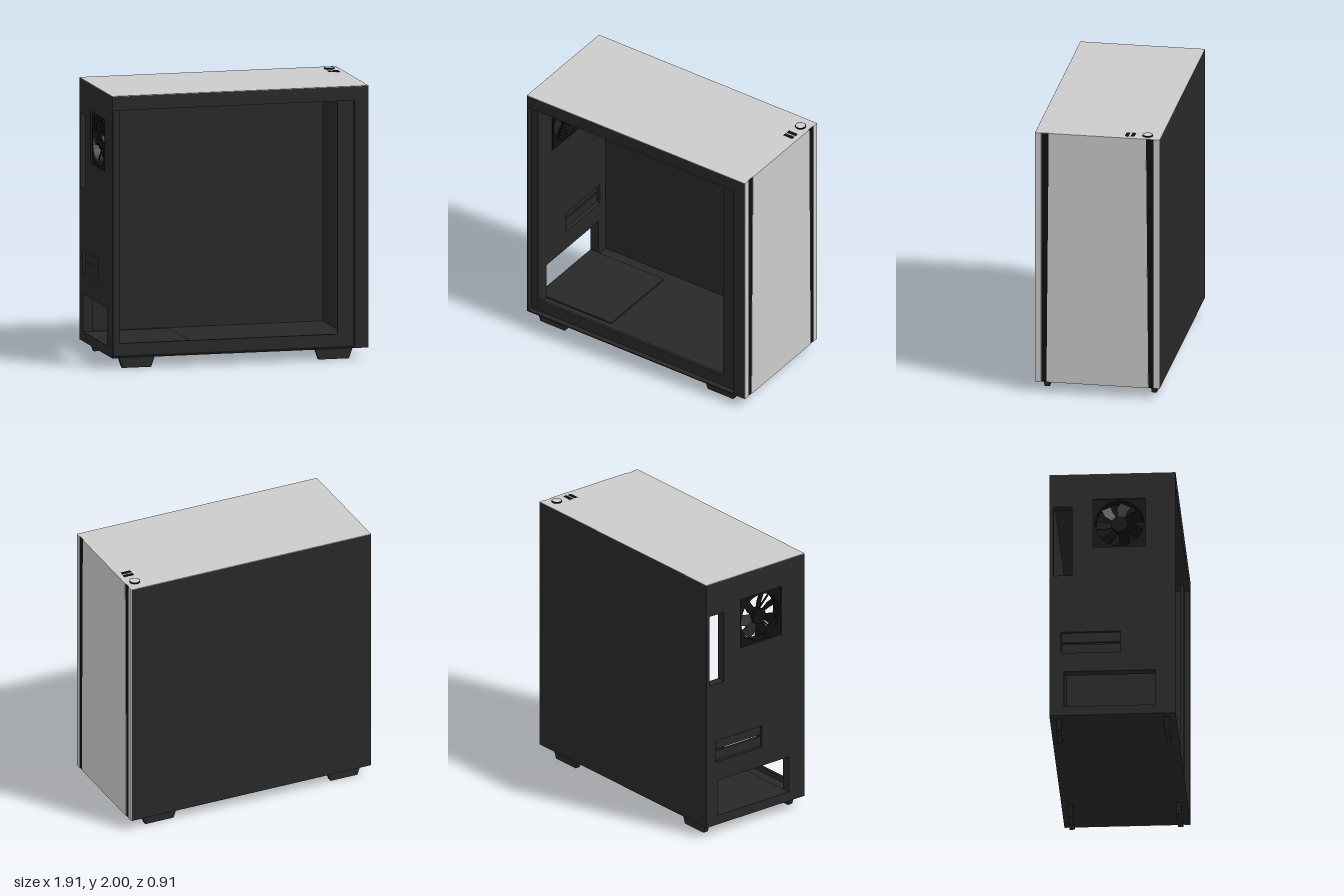
import * as THREE from 'three';

const mat = (color) => new THREE.MeshStandardMaterial({ color, flatShading: true });

export function createModel() {
  const root = new THREE.Group();
  const dark = mat(0x282828), black = mat(0x101010), grey = mat(0xcccccc);

  const add = (name, geo, material, parent = root) => {
    const m = new THREE.Mesh(geo, material);
    m.name = name;
    parent.add(m);
    return m;
  };
  // box given by its minimum and maximum on each axis
  const box = (name, [x0, x1], [y0, y1], [z0, z1], material = dark) => {
    const g = new THREE.BoxGeometry(x1 - x0, y1 - y0, z1 - z0);
    g.translate((x0 + x1) / 2, (y0 + y1) / 2, (z0 + z1) / 2);
    return add(name, g, material);
  };
  const poly = (pts) => pts.map(([a, b]) => new THREE.Vector2(a, b));
  const rect = (z0, z1, y0, y1) => poly([[-z1, y0], [-z0, y0], [-z0, y1], [-z1, y1]]);
  // extrude a (-z, y) outline along +x from x0 to x1
  const extrudeX = (pts, holes, x0, x1) => {
    const s = new THREE.Shape(pts);
    holes.forEach((h) => s.holes.push(h instanceof THREE.Path ? h : new THREE.Path(h)));
    const g = new THREE.ExtrudeGeometry(s, { depth: x1 - x0, bevelEnabled: false, curveSegments: 20 });
    return g.rotateY(Math.PI / 2).translate(x0, 0, 0);
  };

  // shell
  box('closedSidePanel', [-0.96, 0.946], [0.08, 1.986], [-0.455, -0.435]);
  box('basePlate', [-0.96, 0.946], [0.08, 0.14], [-0.435, 0.415]);
  box('roofBox', [-0.96, 0.946], [1.885, 1.986], [-0.435, 0.455]);
  box('frontBlock', [0.85, 0.946], [0.08, 1.885], [-0.435, 0.455]);

  // recessed frame around the open side, with thin outer lips
  box('frameColumn', [0.73, 0.85], [0.14, 1.885], [0.395, 0.415]);
  box('frameSill', [-0.89, 0.73], [0.14, 0.18], [0.395, 0.415]);
  box('rearLip', [-0.96, -0.95], [0.08, 1.885], [0.415, 0.455]);
  box('bottomLip', [-0.95, 0.85], [0.08, 0.088], [0.415, 0.455]);

  // rear wall with openings for port plate, fan, expansion slots and power supply
  const fanY = 1.6, fanZ = 0.05, fanHalf = 0.19;
  add('rearWall', extrudeX(rect(-0.435, 0.415, 0.14, 1.885), [
    rect(-0.425, -0.29, 1.19, 1.735),
    rect(fanZ - fanHalf, fanZ + fanHalf, fanY - fanHalf, fanY + fanHalf),
    rect(-0.37, 0.06, 0.575, 0.74),
    rect(-0.35, 0.31, 0.15, 0.427),
  ], -0.96, -0.89), dark);
  for (const y of [0.575, 0.665]) box('slotCover', [-0.94, -0.92], [y, y + 0.075], [-0.37, 0.06]);
  box('powerSupplyTray', [-0.89, -0.32], [0.14, 0.15], [-0.35, 0.31]);

  // fan
  const fan = new THREE.Group();
  fan.name = 'rearFan';
  root.add(fan);
  const ring = new THREE.Path().absarc(-fanZ, fanY, 0.176, 0, Math.PI * 2, true);
  add('fanFrame', extrudeX(
    rect(fanZ - fanHalf, fanZ + fanHalf, fanY - fanHalf, fanY + fanHalf), [ring], -0.95, -0.88), black, fan);
  const hub = new THREE.CylinderGeometry(0.06, 0.06, 0.05, 24).rotateZ(Math.PI / 2);
  add('fanHub', hub.translate(-0.915, fanY, fanZ), black, fan);
  const bladeShape = new THREE.Shape(poly([[0.05, -0.025], [0.11, -0.05], [0.168, -0.035],
    [0.165, 0.05], [0.11, 0.03], [0.05, 0.025]]));
  for (let i = 0; i < 7; i++) {
    const g = new THREE.ExtrudeGeometry(bladeShape, { depth: 0.006, bevelEnabled: false });
    g.rotateX(0.45).rotateZ((i * Math.PI * 2) / 7).rotateY(Math.PI / 2);
    add('fanBlade', g.translate(-0.917, fanY, fanZ), black, fan);
  }
  for (let i = 0; i < 4; i++) {
    const g = new THREE.BoxGeometry(0.008, 0.13, 0.012).translate(0, 0.117, 0);
    g.rotateX(Math.PI / 4 + (i * Math.PI) / 2);
    add('fanStrut', g.translate(-0.89, fanY, fanZ), black, fan);
  }

  // front skin: centre panel and edge strips, parted by tapering dark grooves
  const y0 = 0.08, y1 = 1.99;
  add('frontPanel', extrudeX(
    poly([[-0.372, y0], [0.372, y0], [0.355, y1], [-0.355, y1]]), [], 0.946, 0.952), grey);
  for (const s of [-1, 1]) {
    box('frontEdgeStrip', [0.946, 0.952], [y0, y1], s > 0 ? [0.41, 0.455] : [-0.455, -0.41], grey);
    box('frontGroove', [0.946, 0.948], [y0, 1.986], s > 0 ? [0.35, 0.41] : [-0.41, -0.35], black);
  }
  box('topPanel', [-0.96, 0.946], [1.986, 1.99], [-0.455, 0.455], grey);

  // power button and ports
  add('buttonRing', new THREE.CylinderGeometry(0.039, 0.039, 0.01, 32).translate(0.876, 1.994, -0.355), black);
  add('buttonCap', new THREE.CylinderGeometry(0.034, 0.034, 0.011, 32).translate(0.876, 1.9945, -0.355), grey);
  for (const z of [-0.25, -0.208]) box('port', [0.838, 0.914], [1.98, 1.992], [z - 0.014, z + 0.014], black);

  // tapered feet
  for (const [a, b] of [[-0.9, -0.63], [0.565, 0.845]]) {
    const shape = new THREE.Shape(poly([[a + 0.028, 0], [b - 0.028, 0], [b, 0.08], [a, 0.08]]));
    for (const z of [-0.41, 0.372]) {
      const g = new THREE.ExtrudeGeometry(shape, { depth: 0.038, bevelEnabled: false });
      add('foot', g.translate(0, 0, z), dark);
    }
  }
  return root;
}
